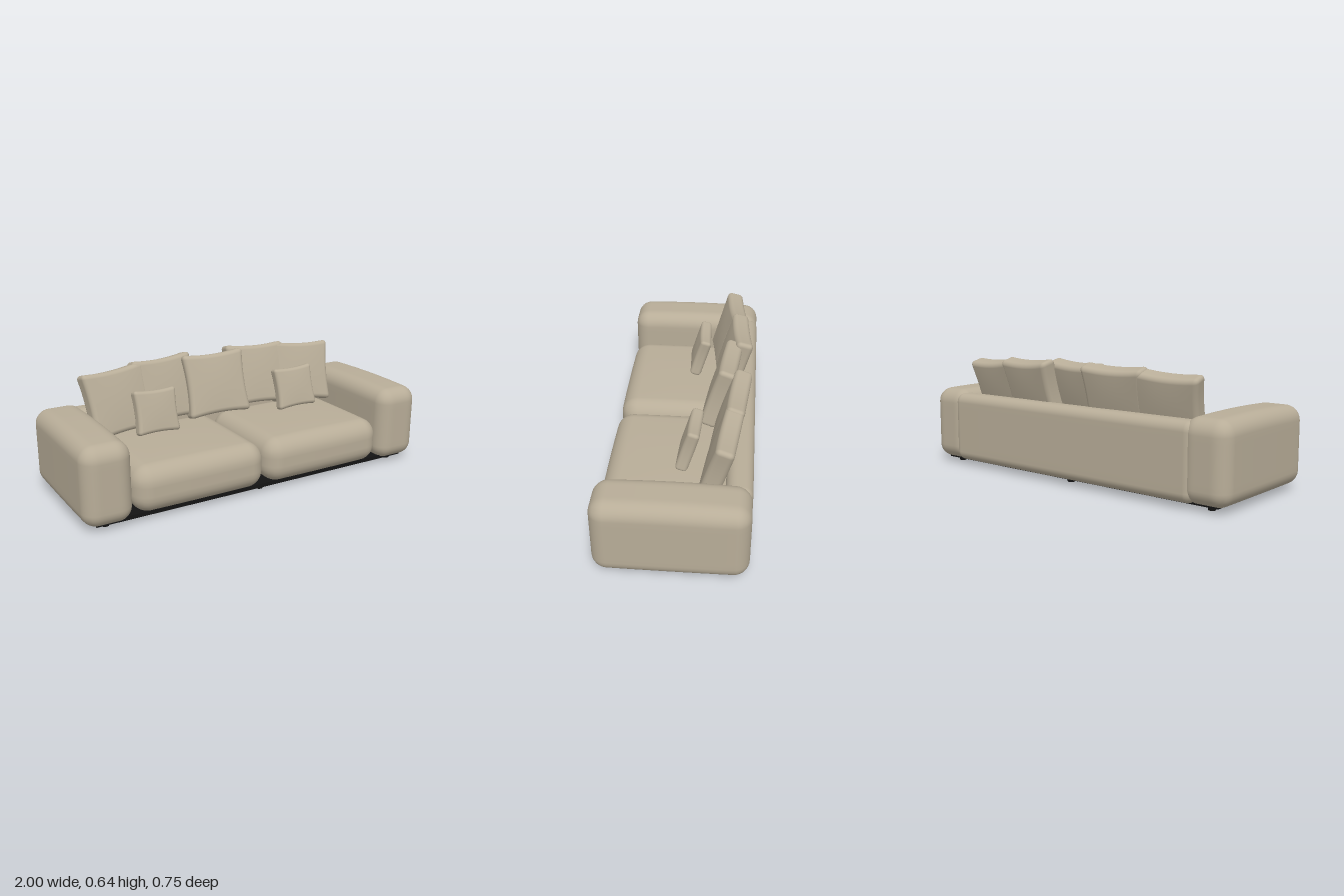
import * as THREE from 'three';
import { mergeVertices } from 'three/addons/utils/BufferGeometryUtils.js';

const fabric = new THREE.MeshStandardMaterial({ color: 0xb8ad98 });
fabric.name = 'beige fabric';
const black = new THREE.MeshStandardMaterial({ color: 0x141414 });
black.name = 'black base';

// Rounded box with vertices inside both the corners and the flats, so it can be shaped further.
// shape(p, u, v, t) moves point p; u, v, t run from -1 to 1 across the box.
function softBox(w, h, d, r, shape) {
  const n = 16;
  let geo = new THREE.BoxGeometry(2, 2, 2, n, n, n);
  const pos = geo.attributes.position;
  const half = [w / 2, h / 2, d / 2];
  const p = new THREE.Vector3();
  for (let i = 0; i < pos.count; i++) {
    const inner = [], off = new THREE.Vector3();
    [pos.getX(i), pos.getY(i), pos.getZ(i)].forEach((c, k) => {
      const a = Math.abs(c), s = Math.sign(c), flat = half[k] - r;
      inner[k] = s * flat * Math.min(1, a * 2);
      off.setComponent(k, a > 0.5 ? s * Math.tan((a - 0.5) * Math.PI / 2) : 0);
    });
    p.fromArray(inner).addScaledVector(off.normalize(), r);
    if (shape) shape(p, p.x / half[0], p.y / half[1], p.z / half[2]);
    pos.setXYZ(i, p.x, p.y, p.z);
  }
  geo.deleteAttribute('uv');
  geo.deleteAttribute('normal');
  geo = mergeVertices(geo, 1e-5);
  geo.computeVertexNormals();
  return geo;
}

// Pillow: edges drawn in between the corners, fuller in the middle
function pillow(w, h, d, r) {
  return softBox(w, h, d, r, (p, u, v) => {
    p.x *= 1 - 0.07 * (1 - v * v);
    p.y *= 1 - 0.08 * (1 - u * u);
    p.z *= 0.88 + 0.17 * (1 - u * u) * (1 - v * v);
  });
}

export function createModel() {
  const model = new THREE.Group();
  model.name = 'sofa';

  const add = (name, geo, mat, x, y, z) => {
    const mesh = new THREE.Mesh(geo, mat);
    mesh.name = name;
    mesh.position.set(x, y, z);
    model.add(mesh);
    return mesh;
  };

  // Base plate and feet
  add('basePlate', new THREE.BoxGeometry(1.86, 0.02, 0.64), black, 0, 0.031, 0);
  const footGeo = new THREE.CylinderGeometry(0.021, 0.019, 0.024, 16);
  for (const x of [-0.87, 0, 0.87])
    for (const z of [-0.274, 0.274]) add('foot', footGeo, black, x, 0.012, z);

  // Gently domed arms and seat cushions
  const armGeo = softBox(0.252, 0.402, 0.744, 0.075, (p, u, v, t) => {
    if (v > 0) p.y += 0.01 * v * (1 - t * t);
    p.x += 0.003 * u * (1 - t * t);
  });
  const seatGeo = softBox(0.732, 0.242, 0.65, 0.09, (p, u, v, t) => {
    if (v > 0) p.y += 0.008 * v * (1 - u * u) * (1 - t * t);
    if (t > 0) p.z += 0.004 * (1 - u * u);
  });
  for (const s of [-1, 1]) {
    add(s > 0 ? 'leftArm' : 'rightArm', armGeo, fabric, s * 0.871, 0.226, 0);
    add(s > 0 ? 'leftSeat' : 'rightSeat', seatGeo, fabric, s * 0.371, 0.154, 0.041);
  }

  // Low back rail
  add('backRail', softBox(1.64, 0.385, 0.13, 0.05), fabric, 0, 0.218, -0.309);

  // Leaning pillows: yaw and roll are mirrored for each side
  const bigGeo = pillow(0.365, 0.355, 0.105, 0.026);
  const smallGeo = pillow(0.245, 0.235, 0.07, 0.02);
  const lean = (name, geo, x, y, z, yaw, roll) => {
    const m = add(name, geo, fabric, x, y, z);
    m.rotation.set(-0.29, yaw, roll, 'YXZ');
  };
  lean('middleBackPillow', bigGeo, -0.004, 0.458, -0.192, -0.1, 0.03);
  for (const s of [-1, 1]) {
    lean('outerBackPillow', bigGeo, s * 0.583, 0.442, -0.212, -s * 0.1, -s * 0.06);
    lean('innerBackPillow', bigGeo, s * 0.292, 0.458, -0.246, -s * 0.09, -s * 0.02);
    lean('smallPillow', smallGeo, s * 0.435, 0.408, -0.053, -s * 0.05, s * 0.035);
  }

  return model;
}
